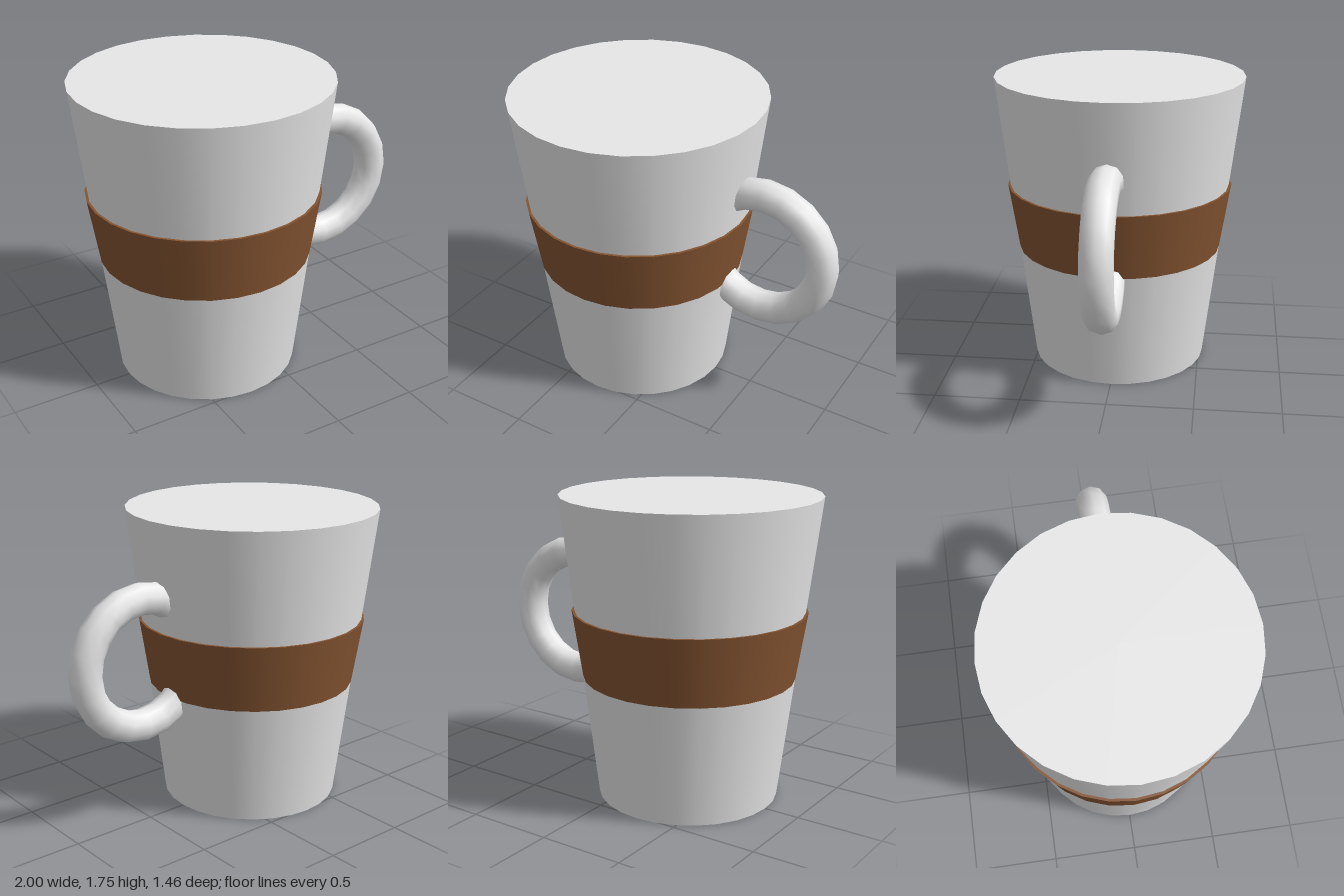
import * as THREE from 'three';

const CUP_X = -0.268; // the cup sits off-centre to leave room for the handle

export function createModel() {
  const group = new THREE.Group();
  const ceramic = new THREE.MeshStandardMaterial({ color: 0xeeeeee });
  ceramic.name = 'ceramic';
  const brown = new THREE.MeshStandardMaterial({ color: 0x845431 });
  brown.name = 'brown band';

  const add = (name, geometry, material, x, y) => {
    const mesh = new THREE.Mesh(geometry, material);
    mesh.name = name;
    mesh.position.set(x, y, 0);
    group.add(mesh);
  };

  // Closed tapering cup
  add('cup', new THREE.CylinderGeometry(0.732, 0.523, 1.75, 28), ceramic, CUP_X, 0.875);

  // Band, flush at the bottom and standing slightly proud at the top
  add('band', new THREE.CylinderGeometry(0.669, 0.609, 0.39, 28), brown, CUP_X, 0.905);

  // Ring handle whose open ends are buried in the cup
  const reach = Math.PI * 0.8;
  const ring = new THREE.TorusGeometry(0.368, 0.092, 10, 16, reach * 2);
  ring.rotateZ(-reach);
  add('handle', ring, ceramic, 0.54, 0.965);

  return group;
}
